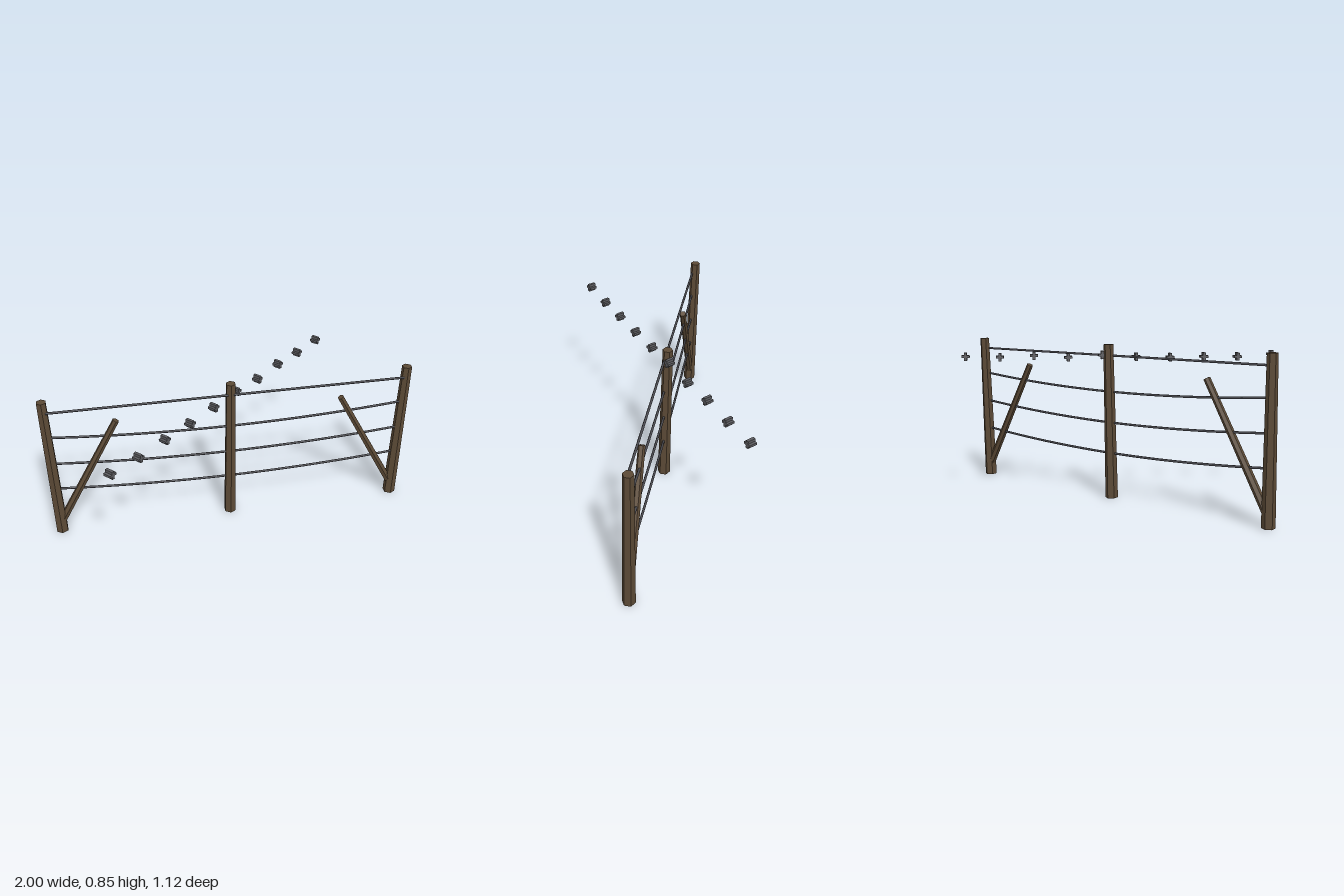
import * as THREE from 'three';

const wood = new THREE.MeshStandardMaterial({ color: 0x5c4a36, flatShading: true });
const wire = new THREE.MeshStandardMaterial({ color: 0x4c4c52 });
const steel = new THREE.MeshStandardMaterial({ color: 0x5c5c60, flatShading: true });

// Tapered six-sided timber running between two points
function timber(name, from, to, rBottom, rTop) {
  const a = new THREE.Vector3(...from), b = new THREE.Vector3(...to);
  const dir = b.clone().sub(a);
  const mesh = new THREE.Mesh(new THREE.CylinderGeometry(rTop, rBottom, dir.length(), 6), wood);
  mesh.name = name;
  mesh.position.copy(a).add(b).multiplyScalar(0.5);
  mesh.quaternion.setFromUnitVectors(new THREE.Vector3(0, 1, 0), dir.normalize());
  return mesh;
}

// Wire strung between the end posts, dropping by sag at mid-span
function strand(name, y, sag) {
  const points = [];
  for (let i = 0; i <= 12; i++) {
    const x = -0.968 + (i / 12) * 1.936;
    points.push(new THREE.Vector3(x, y - sag * (1 - (x / 0.968) ** 2), -0.031));
  }
  const mesh = new THREE.Mesh(
    new THREE.TubeGeometry(new THREE.CatmullRomCurve3(points), 24, 0.0065, 6), wire);
  mesh.name = name;
  return mesh;
}

// Barb: a horizontal plate crossed by an upright one
function barb(x, y, z) {
  const group = new THREE.Group();
  group.name = 'barb';
  const flat = new THREE.Mesh(new THREE.BoxGeometry(0.042, 0.013, 0.042), steel);
  flat.name = 'barbFlatPlate';
  const upright = new THREE.Mesh(new THREE.BoxGeometry(0.015, 0.043, 0.042), steel);
  upright.name = 'barbUprightPlate';
  group.add(flat, upright);
  group.position.set(x, y, z);
  group.rotation.y = Math.PI / 4;
  return group;
}

export function createModel() {
  const model = new THREE.Group();
  model.name = 'wireFence';

  // Posts, leaning slightly back
  const posts = [['rightPost', -0.969, -0.974], ['middlePost', -0.004, 0.004], ['leftPost', 0.966, 0.975]];
  for (const [name, xBase, xTop] of posts) {
    model.add(timber(name, [xBase, 0, -0.028], [xTop, 0.848, -0.047], 0.035, 0.027));
  }

  // Diagonal braces rising inward from the end posts
  for (const [name, s] of [['rightBrace', -1], ['leftBrace', 1]]) {
    model.add(timber(name, [s * 0.965, 0.06, -0.03], [s * 0.609, 0.703, -0.03], 0.022, 0.018));
  }

  // Taut top wire and three sagging ones
  model.add(strand('topWire', 0.787, 0));
  [0.635, 0.465, 0.295].forEach((y) => model.add(strand('saggingWire', y, 0.045)));

  // Diagonal row of barbs at slightly uneven heights
  const heights = [0.793, 0.78, 0.781, 0.778, 0.781, 0.79, 0.778, 0.787, 0.78, 0.783];
  heights.forEach((y, i) => model.add(barb(-0.667 + i * 0.1405, y, 0.531 - i * 0.1184)));

  return model;
}
